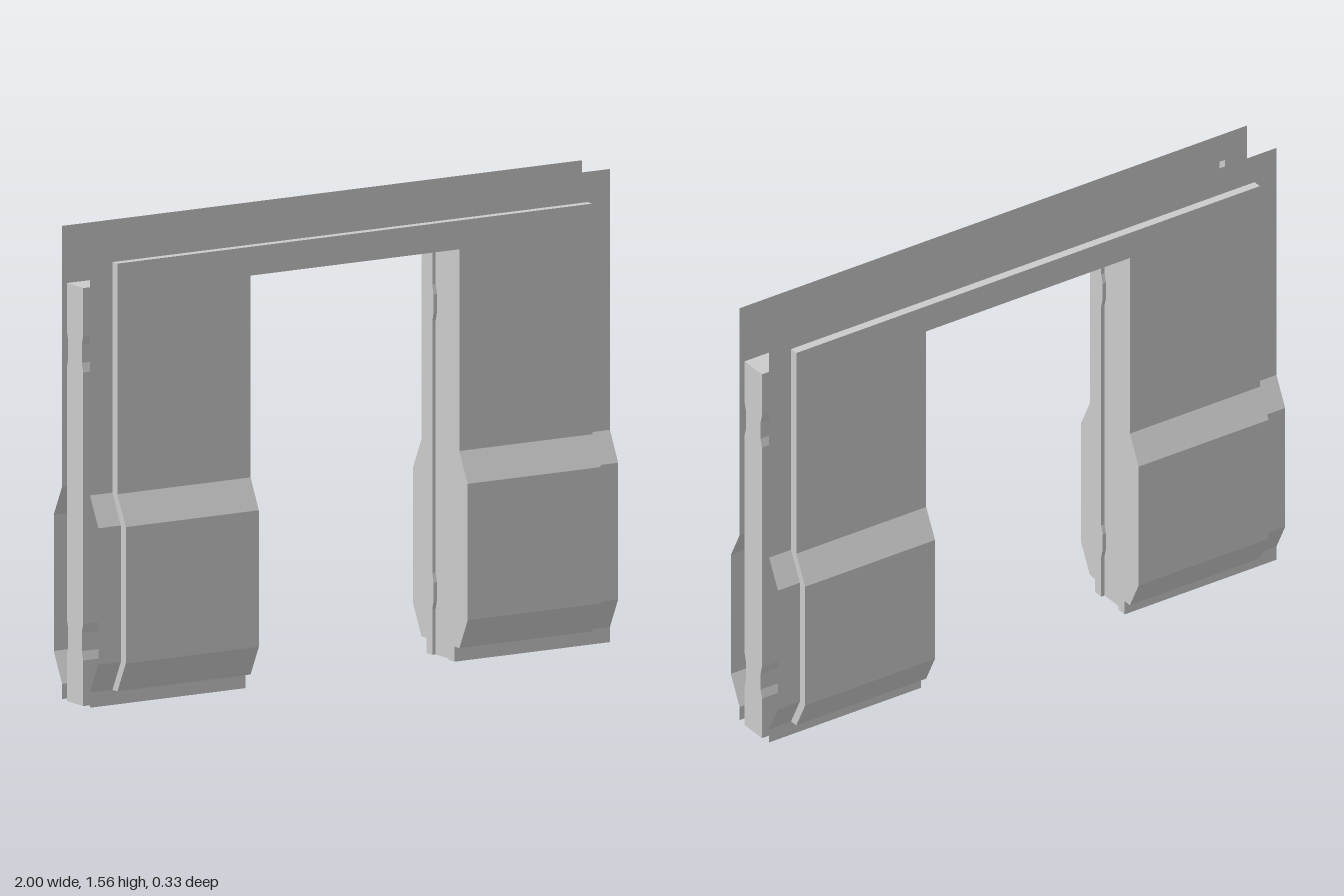
import * as THREE from 'three';

const EDGE = 0.996, PANEL = 0.91, DOOR = 0.4, LIP = 0.013;
const TOP = 1.56, PANEL_TOP = 1.46, PANEL_BOTTOM = 0.05, DOOR_TOP = 1.365;
const BASE = 0.084, RAISED = 0.114, CORE = 0.049, DENT = 0.041, BULGE = 0.05;

const material = new THREE.MeshStandardMaterial({ color: 0xcccccc, flatShading: true, side: THREE.DoubleSide });

function add(group, name, geometry) {
  const mesh = new THREE.Mesh(geometry, material);
  mesh.name = name;
  group.add(mesh);
  return mesh;
}

// strip of quads joining two rows of points
function ribbon(a, b) {
  const pos = [];
  for (let i = 0; i < a.length - 1; i++) {
    pos.push(...a[i], ...b[i], ...b[i + 1], ...a[i], ...b[i + 1], ...a[i + 1]);
  }
  const g = new THREE.BufferGeometry();
  g.setAttribute('position', new THREE.Float32BufferAttribute(pos, 3));
  g.computeVertexNormals();
  return g;
}

// side profile [y, z] of the wall skin, swelling out in the lower half
const profile = (z) => [
  [PANEL_BOTTOM, z], [0.15, z + BULGE], [0.6, z + BULGE], [0.7, z], [PANEL_TOP, z],
];
const row = (x, pts) => pts.map(([y, z]) => [x, y, z]);
const skin = (x0, x1, pts) => ribbon(row(x0, pts), row(x1, pts));

// wavy edge of the core, with a shallow groove near the bottom and the top
const coreEdge = [[0, CORE]];
for (const y of [0.15, 1.1]) {
  coreEdge.push([y, CORE], [y + 0.03, DENT], [y + 0.09, DENT], [y + 0.12, CORE]);
}

// extrude a [z, y] outline along x from x0 to x1
function extrudeX(points, x0, x1) {
  const shape = new THREE.Shape(points.map(([z, y]) => new THREE.Vector2(-z, y)));
  const g = new THREE.ExtrudeGeometry(shape, { depth: x1 - x0, bevelEnabled: false });
  g.rotateY(Math.PI / 2);
  g.translate(x0, 0, 0);
  return g;
}

function wallFace() {
  const face = new THREE.Group();
  const base = profile(BASE), raised = profile(RAISED);
  const border = [[0, BASE], ...base, [TOP, BASE]];

  // flat border around the raised panel
  add(face, 'rightBorder', skin(-EDGE, -PANEL, border));
  add(face, 'leftBorder', skin(PANEL, EDGE, border));
  add(face, 'topBorder', skin(-PANEL, PANEL, [[PANEL_TOP, BASE], [TOP, BASE]]));

  // raised panel over the doorway and its rim
  add(face, 'lintelPanel', skin(-DOOR, DOOR, [[DOOR_TOP, RAISED], [PANEL_TOP, RAISED]]));
  add(face, 'topRim', skin(-PANEL, PANEL, [[PANEL_TOP, RAISED], [PANEL_TOP, BASE]]));
  add(face, 'rightRim', ribbon(row(-PANEL, base), row(-PANEL, raised)));
  add(face, 'leftRim', ribbon(row(PANEL, raised), row(PANEL, base)));

  // return lip above the doorway
  const lip = new THREE.BoxGeometry(2 * DOOR + 2 * LIP, LIP, RAISED - CORE - 0.001);
  lip.translate(0, DOOR_TOP + LIP / 2, (RAISED + CORE - 0.001) / 2);
  add(face, 'lintelLip', lip);

  // outline of the doorway lip, from the skin in to the wavy core edge
  const jamb = [
    [BASE, 0], [BASE, PANEL_BOTTOM],
    ...raised.slice(0, 4).map(([y, z]) => [z, y]),
    [RAISED, DOOR_TOP], [CORE, DOOR_TOP],
    ...coreEdge.slice().reverse().map(([y, z]) => [z, y]),
  ];

  for (const side of [-1, 1]) {
    const x0 = side < 0 ? -PANEL : DOOR, x1 = side < 0 ? -DOOR : PANEL;
    const name = side < 0 ? 'right' : 'left';
    add(face, name + 'Panel', skin(x0, x1, raised));
    add(face, name + 'Foot', skin(x0, x1, [[0, BASE], [PANEL_BOTTOM, BASE]]));
    add(face, name + 'FootRim', skin(x0, x1, [[PANEL_BOTTOM, BASE], [PANEL_BOTTOM, RAISED]]));
    const j0 = side < 0 ? -DOOR - LIP : DOOR;
    add(face, name + 'DoorLip', extrudeX(jamb, j0, j0 + LIP));
  }
  return face;
}

export function createModel() {
  const model = new THREE.Group();
  model.name = 'doorwayWall';

  // matching skins on both sides of the wall
  for (const name of ['frontFace', 'backFace']) {
    const face = wallFace();
    face.name = name;
    if (name === 'backFace') face.rotation.y = Math.PI;
    model.add(face);
  }

  // core slabs between the skins, set back slightly inside the doorway
  const coreTop = DOOR_TOP + LIP;
  const half = [...coreEdge, [coreTop, CORE]];
  const outline = [
    ...half.map(([y, z]) => [z, y]),
    ...half.slice().reverse().map(([y, z]) => [-z, y]),
  ];
  add(model, 'rightCore', extrudeX(outline, -1, -DOOR - LIP));
  add(model, 'leftCore', extrudeX(outline, DOOR + LIP, 1));

  // thin strip closing the core above the doorway
  const strip = new THREE.BoxGeometry(2 * (DOOR + LIP), 0.004, 2 * CORE);
  strip.translate(0, coreTop - 0.002, 0);
  add(model, 'lintelCore', strip);
  return model;
}
